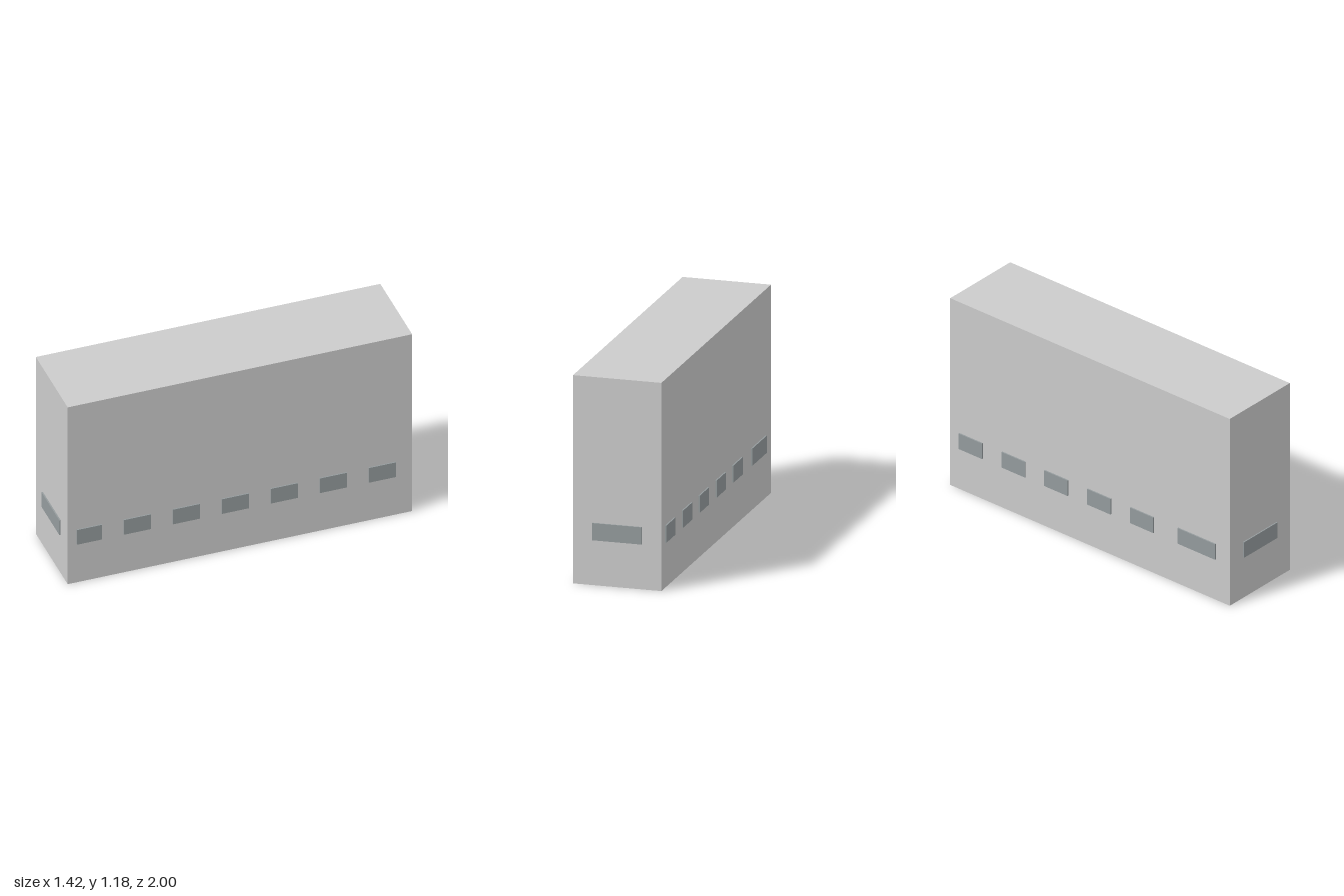
import * as THREE from 'three';

const LENGTH = 2.004, WIDTH = 0.506, HEIGHT = 1.185;
const PROUD = 0.008, SUNK = 0.01; // how far panes stand out of and sit in the wall

export function createModel() {
  const model = new THREE.Group();
  model.name = 'building';
  const wallMaterial = new THREE.MeshStandardMaterial({ color: 0xcccccc });
  const glassMaterial = new THREE.MeshStandardMaterial({ color: 0x949b9d });

  // Main block, turned diagonally on the ground
  const building = new THREE.Group();
  building.name = 'turnedBlock';
  building.rotation.y = -0.508;
  model.add(building);

  const walls = new THREE.Mesh(new THREE.BoxGeometry(WIDTH, HEIGHT, LENGTH), wallMaterial);
  walls.name = 'walls';
  walls.position.y = HEIGHT / 2;
  building.add(walls);

  // One wall's row of panes: [centre along the wall, width]
  function addWindows(name, angle, wallDistance, panes) {
    const row = new THREE.Group();
    row.name = name;
    row.rotation.y = angle;
    for (const [centre, width] of panes) {
      const pane = new THREE.Mesh(new THREE.BoxGeometry(width, 0.098, PROUD + SUNK), glassMaterial);
      pane.name = 'window';
      pane.position.set(centre, 0.306, wallDistance + (PROUD - SUNK) / 2);
      row.add(pane);
    }
    building.add(row);
  }

  const half = LENGTH / 2;
  // Left wall: a narrower pane by the corner, then six equal ones
  const leftPanes = [[0.125 - half, 0.145]];
  for (let i = 0; i < 6; i++) leftPanes.push([0.403 + 0.285 * i - half, 0.158]);
  // Right wall: five equal panes, then a wide one
  const rightPanes = [[1.77 - half, 0.268]];
  for (let i = 0; i < 5; i++) rightPanes.push([0.15 + 0.307 * i - half, 0.168]);

  addWindows('leftWindows', Math.PI / 2, WIDTH / 2, leftPanes);
  addWindows('rightWindows', -Math.PI / 2, WIDTH / 2, rightPanes);
  addWindows('frontWindow', 0, half, [[0, 0.283]]);
  addWindows('backWindow', Math.PI, half, [[0, 0.283]]);

  return model;
}
